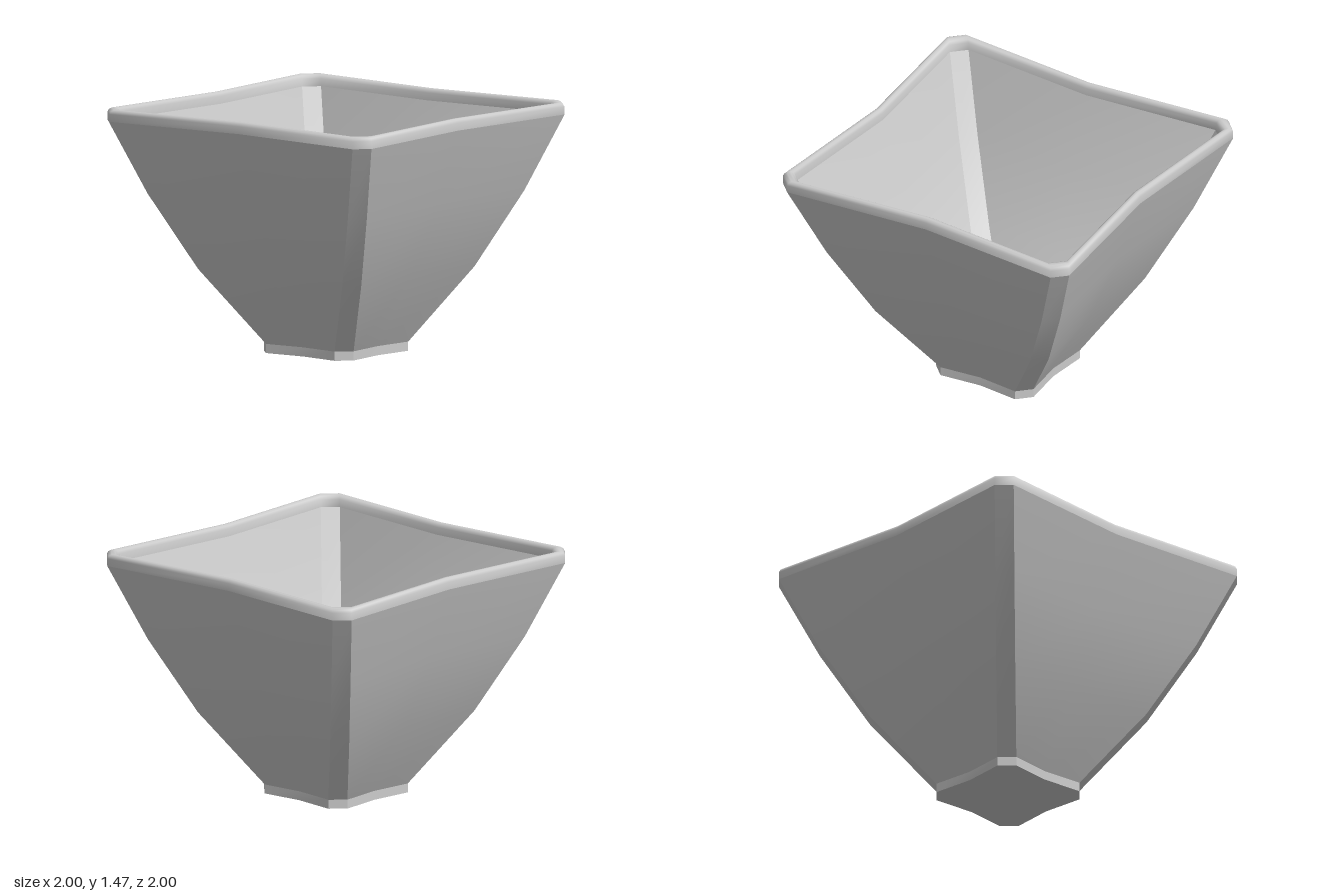
import * as THREE from 'three';
import { toCreasedNormals } from 'three/addons/utils/BufferGeometryUtils.js';

// Square ring with cut corners and side middles drawn in; row = [half size, y, middle pull]
function ring([h, y, pull], cut = 0.08) {
  const c = h > 0 ? cut : 0;
  const quarter = [[h - pull, 0], [h, h - c], [h - c, h]];
  const points = [];
  for (let q = 0; q < 4; q++) {
    for (let [x, s] of quarter) {
      for (let r = 0; r < q; r++) [x, s] = [-s, x];
      points.push(new THREE.Vector3(x, y, -s));
    }
  }
  return points;
}

// Skin consecutive rings; rows with zero size close the surface
function loft(name, rows, crease) {
  const rings = rows.map((row) => ring(row));
  const positions = [];
  const triangle = (a, b, c) => {
    if (a.equals(b) || b.equals(c) || c.equals(a)) return;
    for (const p of [a, b, c]) positions.push(p.x, p.y, p.z);
  };
  for (let i = 0; i < rings.length - 1; i++) {
    const low = rings[i], high = rings[i + 1];
    for (let k = 0; k < low.length; k++) {
      const n = (k + 1) % low.length;
      triangle(low[k], low[n], high[n]);
      triangle(low[k], high[n], high[k]);
    }
  }
  const geometry = new THREE.BufferGeometry();
  geometry.setAttribute('position', new THREE.Float32BufferAttribute(positions, 3));
  const mesh = new THREE.Mesh(
    toCreasedNormals(geometry, crease),
    new THREE.MeshStandardMaterial({ color: 0xcccccc })
  );
  mesh.name = name;
  return mesh;
}

export function createModel() {
  const bowl = new THREE.Group();
  bowl.name = 'bowl';

  // Low upright foot with a closed underside
  bowl.add(loft('foot', [[0, 0, 0], [0.34, 0, 0.025], [0.34, 0.055, 0.025]], 0.5));

  // Flared outside wall
  bowl.add(loft('outerWall', [
    [0.34, 0.055, 0.025], [0.62, 0.5, 0.046], [0.83, 0.95, 0.062], [1, 1.4, 0.075],
  ], 0.5));

  // Rounded lip
  bowl.add(loft('rim', [
    [1, 1.4, 0.075], [1, 1.445, 0.075], [0.994, 1.461, 0.075], [0.982, 1.47, 0.075],
    [0.966, 1.47, 0.074], [0.953, 1.462, 0.073], [0.946, 1.445, 0.072], [0.942, 1.4, 0.07],
  ], 1));

  // Inside wall running down to the floor
  bowl.add(loft('innerWall', [
    [0.942, 1.4, 0.07], [0.775, 0.95, 0.052], [0.562, 0.5, 0.032], [0.29, 0.08, 0.008],
  ], 0.5));

  // Flat inside floor
  bowl.add(loft('floor', [[0.29, 0.08, 0.008], [0, 0.08, 0]], 0.5));

  return bowl;
}
